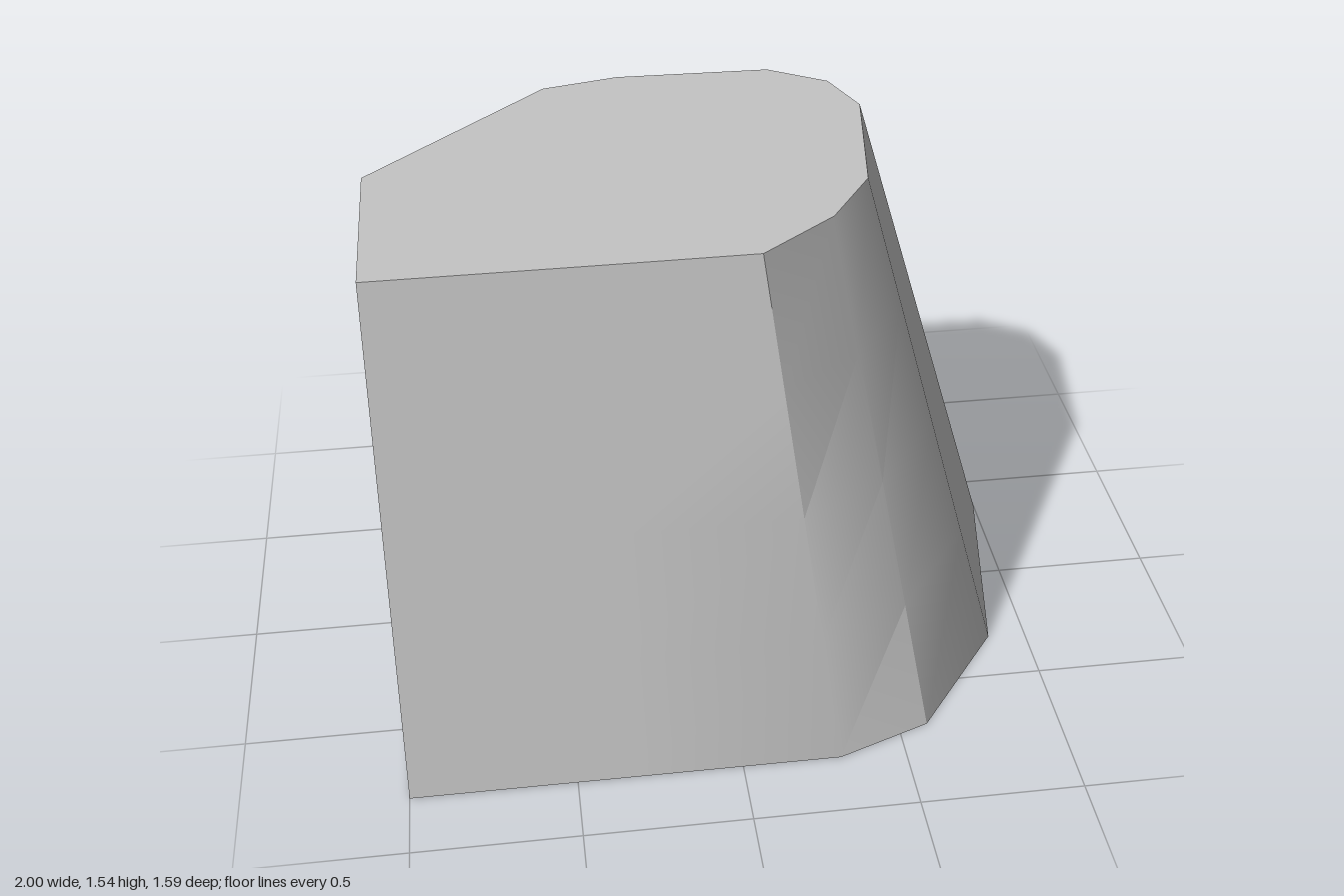
import * as THREE from 'three';
import { toCreasedNormals } from 'three/addons/utils/BufferGeometryUtils.js';

const HEIGHT = 1.54;

// Matching [x, z] outlines, starting at the front corner and running counterclockwise from above
const bottomRing = [
  [-1, 0.79], [-0.35, 0.79], [0.3, 0.79], [0.59, 0.685], [0.88, 0.32], [1, -0.36],
  [0.9, -0.645], [0.63, -0.79], [-0.16, -0.79], [-0.45, -0.7], [-1, -0.15],
];
const topRing = [
  [-1, 0.38], [-0.35, 0.375], [0.1, 0.37], [0.33, 0.19], [0.47, -0.02], [0.54, -0.5],
  [0.47, -0.68], [0.29, -0.79], [-0.2, -0.795], [-0.44, -0.74], [-1, -0.21],
];

function buildGeometry(positions, indices) {
  const geometry = new THREE.BufferGeometry();
  geometry.setAttribute('position', new THREE.Float32BufferAttribute(positions, 3));
  geometry.setIndex(indices);
  geometry.computeVertexNormals();
  return geometry;
}

// Sloping wall lofted between the two outlines
function wallGeometry(steps) {
  const n = bottomRing.length, positions = [], indices = [];
  for (let s = 0; s <= steps; s++) {
    const t = s / steps;
    bottomRing.forEach(([x, z], i) => positions.push(
      THREE.MathUtils.lerp(x, topRing[i][0], t), HEIGHT * t,
      THREE.MathUtils.lerp(z, topRing[i][1], t)));
  }
  for (let s = 0; s < steps; s++) {
    for (let i = 0; i < n; i++) {
      const j = (i + 1) % n, a = s * n + i, b = s * n + j;
      indices.push(a, b, b + n, a, b + n, a + n);
    }
  }
  return toCreasedNormals(buildGeometry(positions, indices), 0.5);
}

// Flat cap across one outline
function capGeometry(ring, y, up) {
  const positions = [0, y, 0], indices = [];
  ring.forEach(([x, z], i) => {
    const a = i + 1, b = (i + 1) % ring.length + 1;
    positions.push(x, y, z);
    indices.push(0, up ? a : b, up ? b : a);
  });
  return buildGeometry(positions, indices);
}

export function createModel() {
  const group = new THREE.Group();
  group.name = 'taperedBlock';
  const grey = new THREE.MeshStandardMaterial({ color: 0xc4c4c4 });
  grey.name = 'light grey';

  const add = (name, geometry) => {
    const mesh = new THREE.Mesh(geometry, grey);
    mesh.name = name;
    group.add(mesh);
  };
  add('slopingWall', wallGeometry(4));
  add('topFace', capGeometry(topRing, HEIGHT, true));
  add('bottomFace', capGeometry(bottomRing, 0, false));
  return group;
}
